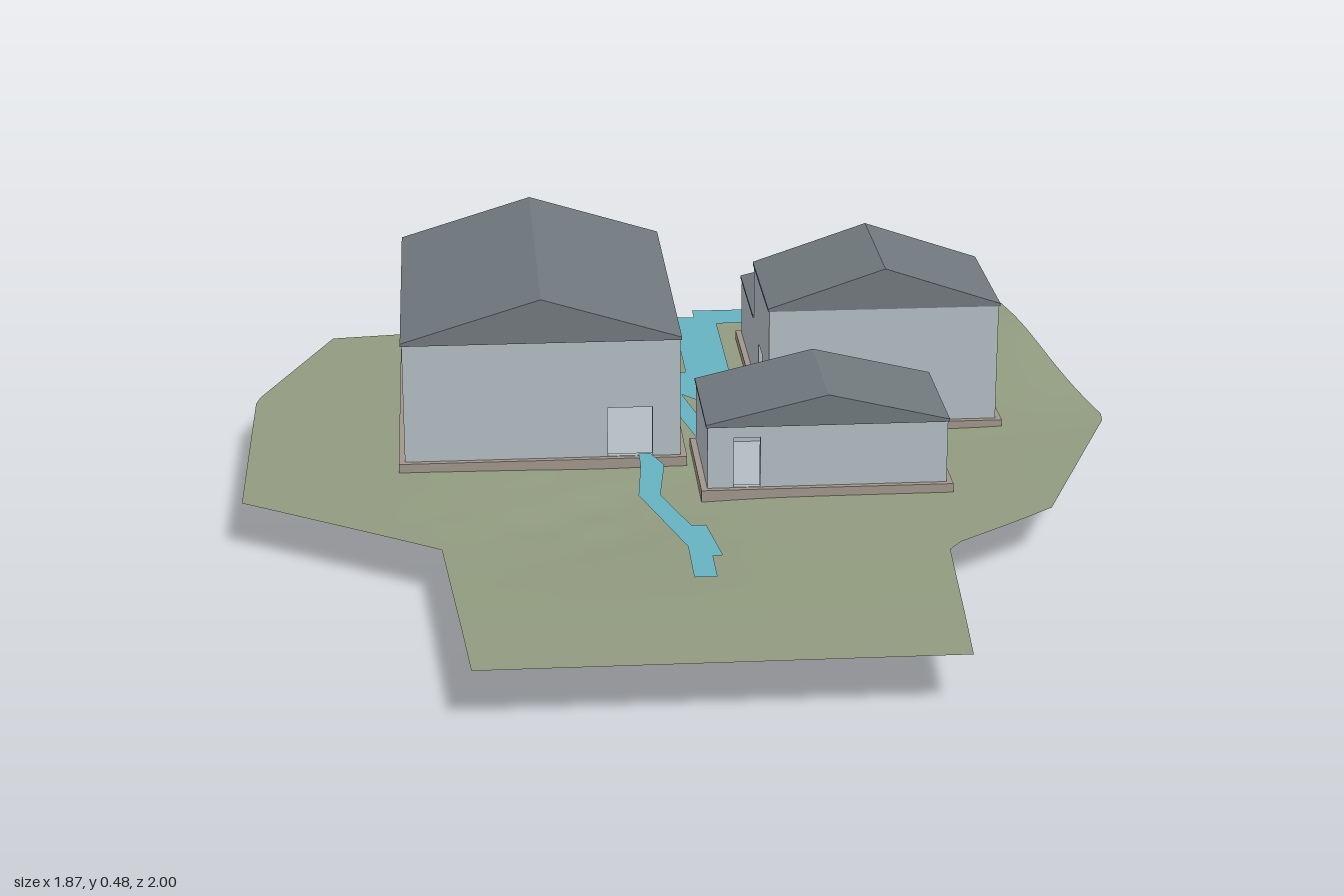
import * as THREE from 'three';

const mat = (name, color, double = false) => {
  const m = new THREE.MeshStandardMaterial({ color });
  m.name = name;
  if (double) m.side = THREE.DoubleSide;
  return m;
};

export function createModel() {
  const wallMat = mat('wallGrey', 0xb2bcc1);
  const roofMat = mat('roofSlate', 0x70787d);
  const plinthMat = mat('plinthStone', 0xa0958a);
  const grassMat = mat('grass', 0x919b7f, true);
  const pathMat = mat('pathBlue', 0x66b2c0, true);
  const woodMat = mat('stairOrange', 0xd8963c);
  const model = new THREE.Group();
  const T = 0.015;

  const add = (parent, name, geo, material) => {
    const m = new THREE.Mesh(geo, material);
    m.name = name;
    parent.add(m);
    return m;
  };
  const box = (parent, name, material, x0, x1, y0, y1, z0, z1) => {
    const g = new THREE.BoxGeometry(x1 - x0, y1 - y0, z1 - z0);
    g.translate((x0 + x1) / 2, (y0 + y1) / 2, (z0 + z1) / 2);
    return add(parent, name, g, material);
  };

  // Wall panel from u0 to u1 with door openings [from, to, top]; axis 'x' or 'z'
  const wall = (parent, name, axis, at, u0, u1, y0, y1, doors = []) => {
    const rect = (C, a, b, c, d) => {
      const s = new C();
      s.moveTo(a, c); s.lineTo(b, c); s.lineTo(b, d); s.lineTo(a, d); s.closePath();
      return s;
    };
    const shape = rect(THREE.Shape, u0, u1, y0, y1);
    for (const [a, b, top = 0.235] of doors) shape.holes.push(rect(THREE.Path, a, b, 0.126, top));
    const g = new THREE.ExtrudeGeometry(shape, { depth: T, bevelEnabled: false });
    if (axis === 'x') g.translate(0, 0, at);
    else { g.rotateY(-Math.PI / 2); g.translate(at + T, 0, 0); }
    return add(parent, name, g, wallMat);
  };

  // Solid gable roof with its ridge along z
  const roof = (parent, x0, x1, z0, z1, eave, ridge) => {
    const s = new THREE.Shape();
    const o = 0.003;
    s.moveTo(x0 - o, eave - 0.006); s.lineTo(x1 + o, eave - 0.006); s.lineTo(x1 + o, eave);
    s.lineTo((x0 + x1) / 2, ridge); s.lineTo(x0 - o, eave); s.closePath();
    const g = new THREE.ExtrudeGeometry(s, { depth: z1 - z0 + 2 * o, bevelEnabled: false });
    g.translate(0, 0, z0 - o);
    add(parent, 'roof', g, roofMat);
  };

  // Stone band around the foot of a house
  const plinth = (parent, x0, x1, z0, z1, y0) => {
    const e = 0.013, y1 = 0.125;
    box(parent, 'plinthFront', plinthMat, x0 - e, x1 + e, y0, y1, z1, z1 + e);
    box(parent, 'plinthBack', plinthMat, x0 - e, x1 + e, y0, y1, z0 - e, z0);
    box(parent, 'plinthLeft', plinthMat, x1, x1 + e, y0, y1, z0, z1);
    box(parent, 'plinthRight', plinthMat, x0 - e, x0, y0, y1, z0, z1);
  };

  const house = (name) => {
    const g = new THREE.Group();
    g.name = name;
    model.add(g);
    return g;
  };

  // Large house with basement and a recessed back corner
  const a = house('largeHouse');
  const nx = -0.16, nz = -0.71;
  wall(a, 'frontWall', 'x', -0.04 - T, -0.605, -0.02, 0, 0.388, [[-0.175, -0.08]]);
  wall(a, 'backWall', 'x', -0.795, -0.605, nx, 0, 0.388, [[-0.43, -0.37]]);
  wall(a, 'rightWall', 'z', -0.605, -0.795 + T, -0.04 - T, 0, 0.388);
  wall(a, 'leftWall', 'z', -0.02 - T, nz, -0.04 - T, 0, 0.388, [[-0.55, -0.33, 0.25]]);
  wall(a, 'recessWall', 'x', nz, nx, -0.02 - T, 0, 0.388);
  wall(a, 'recessSideWall', 'z', nx - T, -0.795 + T, nz, 0, 0.388);
  box(a, 'recessLedge', wallMat, nx, -0.02, 0.1, 0.25, -0.795, nz);
  for (const y of [0.002, 0.119]) {
    box(a, 'floor', wallMat, -0.602, nx - 0.003, y, y + 0.005, -0.792, -0.043);
    box(a, 'floorFront', wallMat, nx - 0.003, -0.023, y, y + 0.005, nz + 0.003, -0.043);
  }
  plinth(a, -0.605, -0.02, -0.795, -0.04, 0.1);
  roof(a, -0.605, -0.02, -0.795, -0.04, 0.39, 0.48);
  box(a, 'stairBlock', woodMat, -0.117, -0.025, 0.124, 0.225, -0.5, -0.36);
  box(a, 'stairFoot', woodMat, -0.28, -0.22, 0, 0.004, -0.57, -0.43);

  // Small house at the front
  const b = house('smallHouse');
  wall(b, 'frontWall', 'x', 0.16 - T, 0.02, 0.52, 0.09, 0.262, [[0.075, 0.13]]);
  wall(b, 'backWall', 'x', -0.125, 0.02, 0.52, 0.09, 0.262, [[0.22, 0.28]]);
  wall(b, 'rightWall', 'z', 0.02, -0.125 + T, 0.16 - T, 0.09, 0.262);
  wall(b, 'leftWall', 'z', 0.52 - T, -0.125 + T, 0.16 - T, 0.09, 0.262);
  box(b, 'floor', wallMat, 0.021, 0.519, 0.098, 0.124, -0.124, 0.159);
  plinth(b, 0.02, 0.52, -0.125, 0.16, 0.08);
  roof(b, 0.02, 0.52, -0.125, 0.16, 0.265, 0.325);

  // Middle house with a lower wing behind it
  const c = house('middleHouse');
  wall(c, 'frontWall', 'x', -0.21 - T, 0.185, 0.685, 0.1, 0.388, [[0.37, 0.43]]);
  wall(c, 'rightWall', 'z', 0.185, -0.545 + T, -0.21 - T, 0.1, 0.388, [[-0.43, -0.36]]);
  wall(c, 'leftWall', 'z', 0.685 - T, -0.545 + T, -0.21 - T, 0.1, 0.388);
  wall(c, 'middleWall', 'x', -0.545, 0.185, 0.685, 0.1, 0.388);
  wall(c, 'wingBackWall', 'x', -0.835, 0.185, 0.685, 0.1, 0.262, [[0.41, 0.47]]);
  wall(c, 'wingRightWall', 'z', 0.185, -0.835 + T, -0.545, 0.1, 0.262);
  wall(c, 'wingLeftWall', 'z', 0.685 - T, -0.835 + T, -0.545, 0.1, 0.262);
  box(c, 'floor', wallMat, 0.186, 0.684, 0.102, 0.124, -0.834, -0.211);
  plinth(c, 0.185, 0.685, -0.835, -0.21, 0.088);
  roof(c, 0.185, 0.685, -0.545, -0.21, 0.39, 0.475);
  roof(c, 0.185, 0.685, -0.835, -0.548, 0.265, 0.325);
  box(c, 'stairFoot', woodMat, 0.57, 0.62, 0.1, 0.104, -0.45, -0.28);

  // Ground: rows across the outline, raised at the back left, dipped in the yard
  const leftEdge = [[-1, -0.1], [-0.92, -0.78], [-0.5, -0.94], [0.12, -0.94], [0.4, -0.53], [1, -0.48]];
  const rightEdge = [[-1, 0.1], [-0.92, 0.81], [-0.22, 0.93], [0.28, 0.72], [0.46, 0.48], [1, 0.44]];
  const edgeAt = (e, z) => {
    for (let i = 1; i < e.length; i++) {
      const [z0, x0] = e[i - 1], [z1, x1] = e[i];
      if (z <= z1) return x0 + (x1 - x0) * (z - z0) / (z1 - z0);
    }
    return e[e.length - 1][1];
  };
  const ss = THREE.MathUtils.smoothstep;
  const height = (x, z) => 0.106
    + 0.05 * ss(x, 0.4, 0.75) * ss(-z, 0.1, 0.8) * (1 - 0.8 * ss(x, 0.82, 0.93))
    + 0.01 * ss(z, 0.4, 0.9)
    + 0.01 * ss(x, 0.6, 0.95)
    - 0.016 * Math.exp(-((x + 0.2) ** 2 + (z - 0.25) ** 2) / 0.05)
    + 0.005 * Math.sin(x * 23) * Math.sin(z * 29) * Math.exp(-((x + 0.25) ** 2 + (z - 0.25) ** 2) / 0.04);
  const ground = new THREE.PlaneGeometry(1, 1, 28, 50);
  const p = ground.attributes.position;
  for (let i = 0; i < p.count; i++) {
    const z = -2 * p.getY(i), l = edgeAt(leftEdge, z), r = edgeAt(rightEdge, z);
    const x = l + (r - l) * (p.getX(i) + 0.5);
    p.setXYZ(i, x, height(x, z), z);
  }
  // Leave openings where the houses stand
  const plots = [[-0.6, -0.03, -0.79, -0.045], [0.02, 0.52, -0.125, 0.16], [0.185, 0.685, -0.835, -0.21]];
  const kept = [], src = ground.index.array;
  for (let i = 0; i < src.length; i += 3) {
    const t = [src[i], src[i + 1], src[i + 2]];
    const covered = plots.some(([x0, x1, z0, z1]) => t.every((k) =>
      p.getX(k) > x0 && p.getX(k) < x1 && p.getZ(k) > z0 && p.getZ(k) < z1));
    if (!covered) kept.push(...t);
  }
  ground.setIndex(kept);
  ground.computeVertexNormals();
  add(model, 'ground', ground, grassMat);

  // Flat blue paths between the doors
  const path = (name, pts, y = 0.13) => {
    const g = new THREE.ShapeGeometry(new THREE.Shape(pts.map(([x, z]) => new THREE.Vector2(x, -z))));
    g.rotateX(-Math.PI / 2);
    g.translate(0, y, 0);
    add(model, name, g, pathMat);
  };
  path('frontPath', [[-0.11, -0.04], [-0.11, 0.03], [-0.125, 0.2], [-0.045, 0.48], [-0.045, 0.635], [0, 0.635],
    [0, 0.53], [0.02, 0.53], [0, 0.37], [-0.03, 0.37], [-0.08, 0.2], [-0.06, 0.03], [-0.085, -0.04]]);
  path('backPath', [[-0.03, -0.55], [0.03, -0.55], [0.03, -0.94], [0.08, -0.94], [0.08, -0.99], [0.43, -0.99],
    [0.43, -0.96], [0.48, -0.96], [0.48, -0.82], [0.39, -0.82], [0.39, -0.89], [0.13, -0.89], [0.13, -0.5],
    [0.08, -0.5], [0.08, -0.48], [0.2, -0.42], [0.2, -0.38], [0.13, -0.38], [0.11, -0.35], [0.29, -0.13],
    [0.23, -0.13], [0.01, -0.4], [0.06, -0.13], [0.02, -0.13], [-0.01, -0.28], [-0.03, -0.38]]);
  path('sidePath', [[0.12, -0.34], [0.17, -0.27], [0.17, -0.31]]);
  path('doorPath', [[0.36, -0.23], [0.36, -0.2], [0.41, -0.17], [0.43, -0.2], [0.43, -0.23]]);
  path('insidePath', [[-0.42, -0.81], [-0.38, -0.81], [-0.38, -0.55], [-0.02, -0.55], [-0.02, -0.38],
    [-0.12, -0.4], [-0.42, -0.45]], 0.128);

  return model;
}
